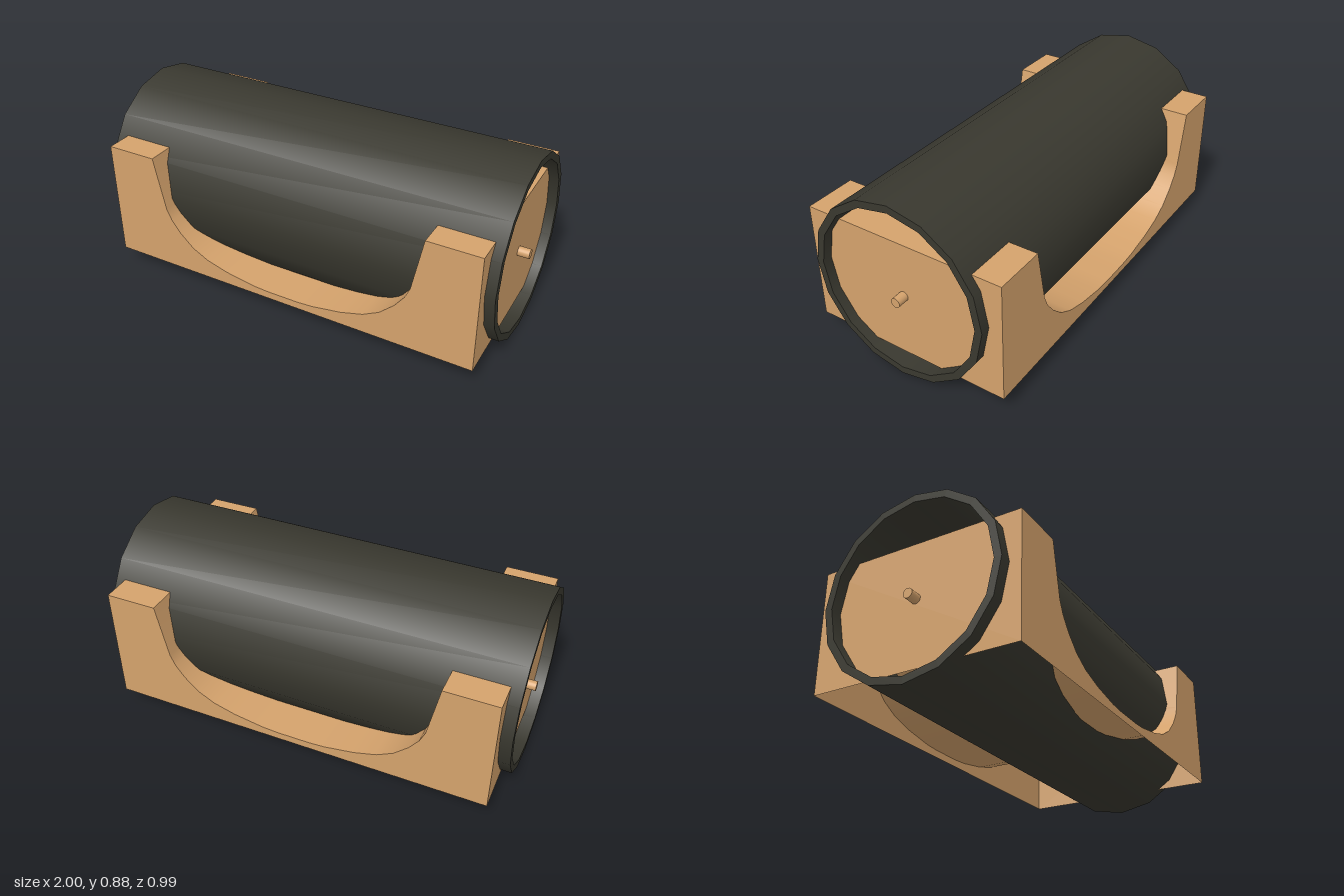
import * as THREE from 'three';

export function createModel() {
  const model = new THREE.Group();
  const tan = new THREE.MeshStandardMaterial({ color: 0xd4a26c, side: THREE.DoubleSide });
  tan.name = 'tan wood';
  const dark = new THREE.MeshStandardMaterial({ color: 0x39382f, side: THREE.DoubleSide });
  dark.name = 'dark tube';

  const add = (geometry, material, name, parent = model) => {
    const mesh = new THREE.Mesh(geometry, material);
    mesh.name = name;
    parent.add(mesh);
    return mesh;
  };

  // Cradle outline, left to right; the underside stays open
  const W = 0.945, LOW = 0.083, HIGH = 0.667, D = 0.497;
  const half = [[-0.693, HIGH], [-0.64, 0.405], [-0.615, 0.35], [-0.57, 0.29], [-0.5, 0.225],
    [-0.42, 0.182], [-0.31, 0.15], [-0.16, 0.125], [-0.08, 0.12]];
  const cut = [...half, ...half.map(([x, y]) => [-x, y]).reverse()];
  const runs = {
    cradleRightEnd: [[-W, LOW], [-W, HIGH]],
    cradleRightTop: [[-W, HIGH], cut[0]],
    cradleHollow: cut,
    cradleLeftTop: [cut[cut.length - 1], [W, HIGH]],
    cradleLeftEnd: [[W, HIGH], [W, LOW]],
  };

  // Each run of the outline becomes a strip across the full depth
  const cradle = new THREE.Group();
  cradle.name = 'cradle';
  model.add(cradle);
  for (const [name, points] of Object.entries(runs)) {
    const n = points.length;
    const strip = new THREE.PlaneGeometry(1, 1, n - 1, 1);
    points.forEach(([x, y], i) => {
      strip.attributes.position.setXYZ(i, x, y, -D);
      strip.attributes.position.setXYZ(i + n, x, y, D);
    });
    strip.computeVertexNormals();
    add(strip, tan, name, cradle);
  }

  // Front and back walls
  const outline = [[-W, LOW], [-W, HIGH], ...cut, [W, HIGH], [W, LOW]];
  const wall = new THREE.ShapeGeometry(new THREE.Shape(outline.map(([x, y]) => new THREE.Vector2(x, y))));
  add(wall, tan, 'frontWall', cradle).position.z = D;
  const back = add(wall, tan, 'backWall', cradle);
  back.position.z = -D;
  back.rotation.y = Math.PI;

  // Sixteen-sided tube: outside, end rings and bore kept separate for sharp rims
  const tube = new THREE.Group();
  tube.name = 'tube';
  const R = 0.4375, r = 0.402, A = -1, B = 0.992;
  const ring = [[R, A], [R, B], [r, B], [r, A], [R, A]].map(([a, b]) => new THREE.Vector2(a, b));
  ['tubeOutside', 'tubeLeftRim', 'tubeBore', 'tubeRightRim'].forEach((name, i) =>
    add(new THREE.LatheGeometry([ring[i], ring[i + 1]], 16), dark, name, tube));
  tube.rotation.z = -Math.PI / 2;
  tube.position.set(0, R, 0.005);
  model.add(tube);

  // Core inside the tube, with sloping ends
  const core = new THREE.Shape([[-0.4, 0.12], [0.4, 0.12], [0.25, 0.705], [-0.25, 0.705]]
    .map(([x, y]) => new THREE.Vector2(x, y)));
  add(new THREE.ExtrudeGeometry(core, { depth: 0.5, bevelEnabled: false }), tan, 'core').position.z = -0.25;

  // Axle pins on both ends
  for (const side of [-1, 1]) {
    const pin = add(new THREE.CylinderGeometry(0.023, 0.023, 0.06, 20), tan, side > 0 ? 'leftPin' : 'rightPin');
    pin.rotation.z = Math.PI / 2;
    pin.position.set(side * 0.97, 0.4, 0.002);
  }
  return model;
}
